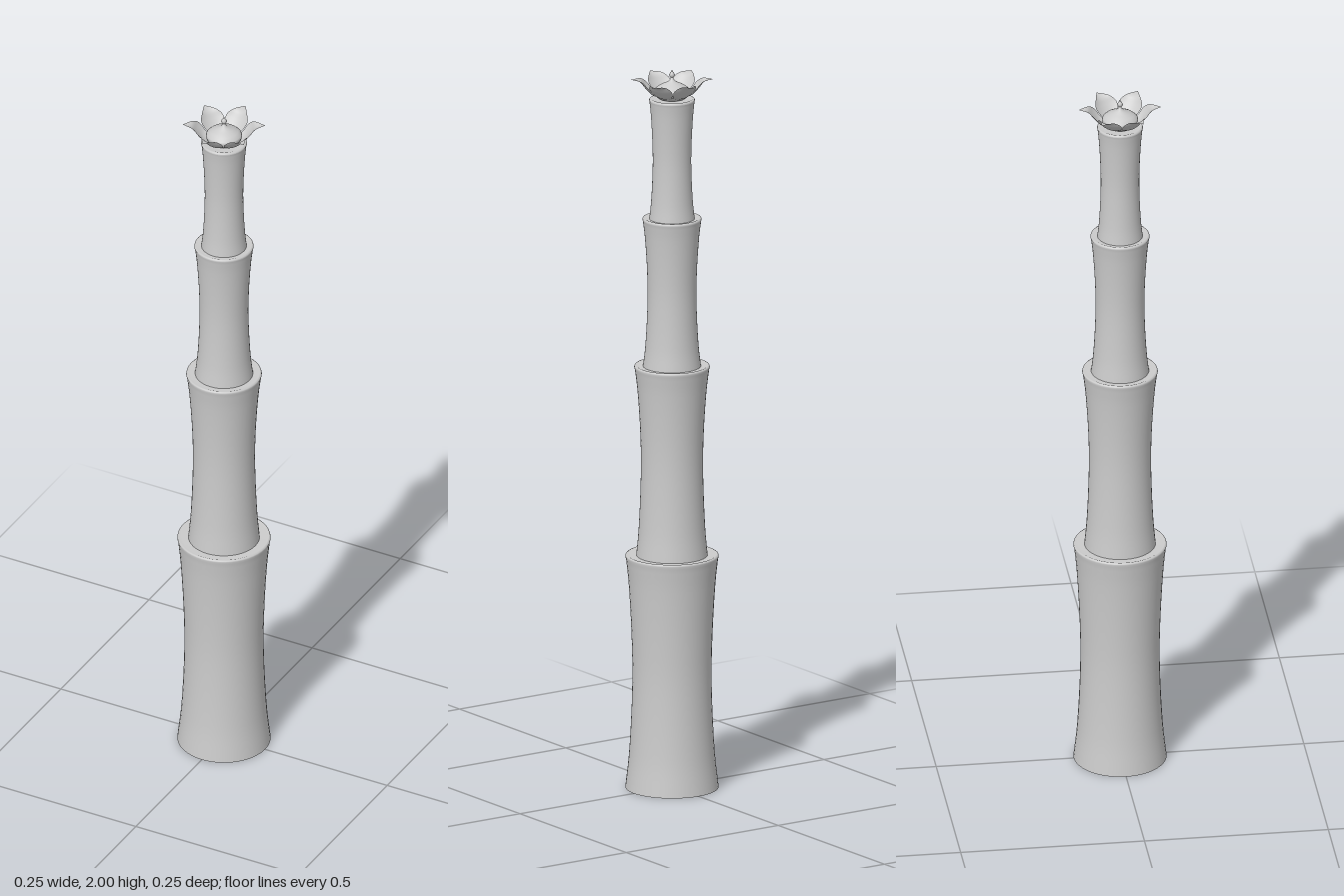
import * as THREE from 'three';

const grey = new THREE.MeshStandardMaterial({ color: 0xcccccc });
const greyThin = new THREE.MeshStandardMaterial({ color: 0xcccccc, side: THREE.DoubleSide });

function addMesh(parent, name, geometry, material = grey) {
  const mesh = new THREE.Mesh(geometry, material);
  mesh.name = name;
  parent.add(mesh);
  return mesh;
}

// Waisted cane section: flared foot, narrow middle, rounded lip and closed ends
function caneSection(y0, y1, foot, waist, top) {
  const h = y1 - y0;
  const wall = new THREE.CatmullRomCurve3([
    [foot, 0], [foot * 0.45 + waist * 0.55, 0.15], [waist, 0.45],
    [waist * 1.02, 0.65], [waist * 0.45 + top * 0.55, 0.88], [top * 0.985, 0.98],
  ].map(([r, t]) => new THREE.Vector3(r, y0 + h * t, 0))).getPoints(24);
  const profile = [
    new THREE.Vector2(0, y0),
    new THREE.Vector2(foot, y0),
    ...wall.map(p => new THREE.Vector2(p.x, p.y)),
    new THREE.Vector2(top, y1 - 0.006),
    new THREE.Vector2(top - 0.001, y1 - 0.002),
    new THREE.Vector2(top - 0.005, y1),
    new THREE.Vector2(top - 0.012, y1 - 0.003),
    new THREE.Vector2(0, y1 - 0.003),
  ];
  return new THREE.LatheGeometry(profile, 48);
}

// Pointed, cupped petal growing along +x and curling outward
function petalGeometry() {
  const spine = new THREE.CatmullRomCurve3([
    [0.03, 1.922], [0.055, 1.931], [0.073, 1.95], [0.088, 1.967], [0.111, 1.972],
  ].map(([x, y]) => new THREE.Vector3(x, y, 0)));
  const halfWidth = new THREE.CatmullRomCurve3([
    [0, 0.014], [0.25, 0.027], [0.5, 0.034], [0.75, 0.021], [1, 0.0005],
  ].map(([t, w]) => new THREE.Vector3(t, w, 0)));
  const geo = new THREE.PlaneGeometry(1, 1, 16, 10);
  const pos = geo.attributes.position;
  for (let i = 0; i < pos.count; i++) {
    const t = pos.getX(i) + 0.5;
    const s = pos.getY(i) * 2;
    const p = spine.getPoint(t);
    const w = halfWidth.getPoint(t).y;
    const cup = s * s * w * 0.4;
    pos.setXYZ(i, p.x - cup * 0.5, p.y + cup * 0.45, -s * w);
  }
  geo.computeVertexNormals();
  return geo;
}

export function createModel() {
  const model = new THREE.Group();
  model.name = 'segmentedCane';

  // Stacked sections: bottom, top, foot radius, waist radius, lip radius
  const stalk = new THREE.Group();
  stalk.name = 'stalk';
  model.add(stalk);
  [
    [0, 0.65, 0.126, 0.107, 0.126],
    [0.64, 1.177, 0.097, 0.084, 0.102],
    [1.167, 1.588, 0.079, 0.066, 0.08],
    [1.578, 1.92, 0.062, 0.052, 0.062],
  ].forEach((s, i) => addMesh(stalk, `caneSection${i + 1}`, caneSection(...s)));

  // Crown flower
  const flower = new THREE.Group();
  flower.name = 'flower';
  model.add(flower);
  const petal = petalGeometry();
  for (let i = 0; i < 6; i++) {
    addMesh(flower, `petal${i + 1}`, petal, greyThin).rotation.y = (i * 60 + 27) * Math.PI / 180;
  }

  // Domed centre rising to a thin stem
  const dome = [
    [0, 1.918], [0.036, 1.92], [0.045, 1.928], [0.049, 1.938], [0.047, 1.945],
    [0.038, 1.953], [0.025, 1.96], [0.012, 1.966], [0.005, 1.972], [0.003, 1.98], [0, 1.985],
  ].map(([r, y]) => new THREE.Vector2(r, y));
  addMesh(flower, 'flowerCentre', new THREE.LatheGeometry(dome, 32));

  // Bead and pointed tip
  const finial = [
    [0, 1.977], [0.005, 1.979], [0.008, 1.984], [0.006, 1.989], [0.003, 1.993], [0, 2],
  ].map(([r, y]) => new THREE.Vector2(r, y));
  addMesh(flower, 'finial', new THREE.LatheGeometry(finial, 16));

  return model;
}
